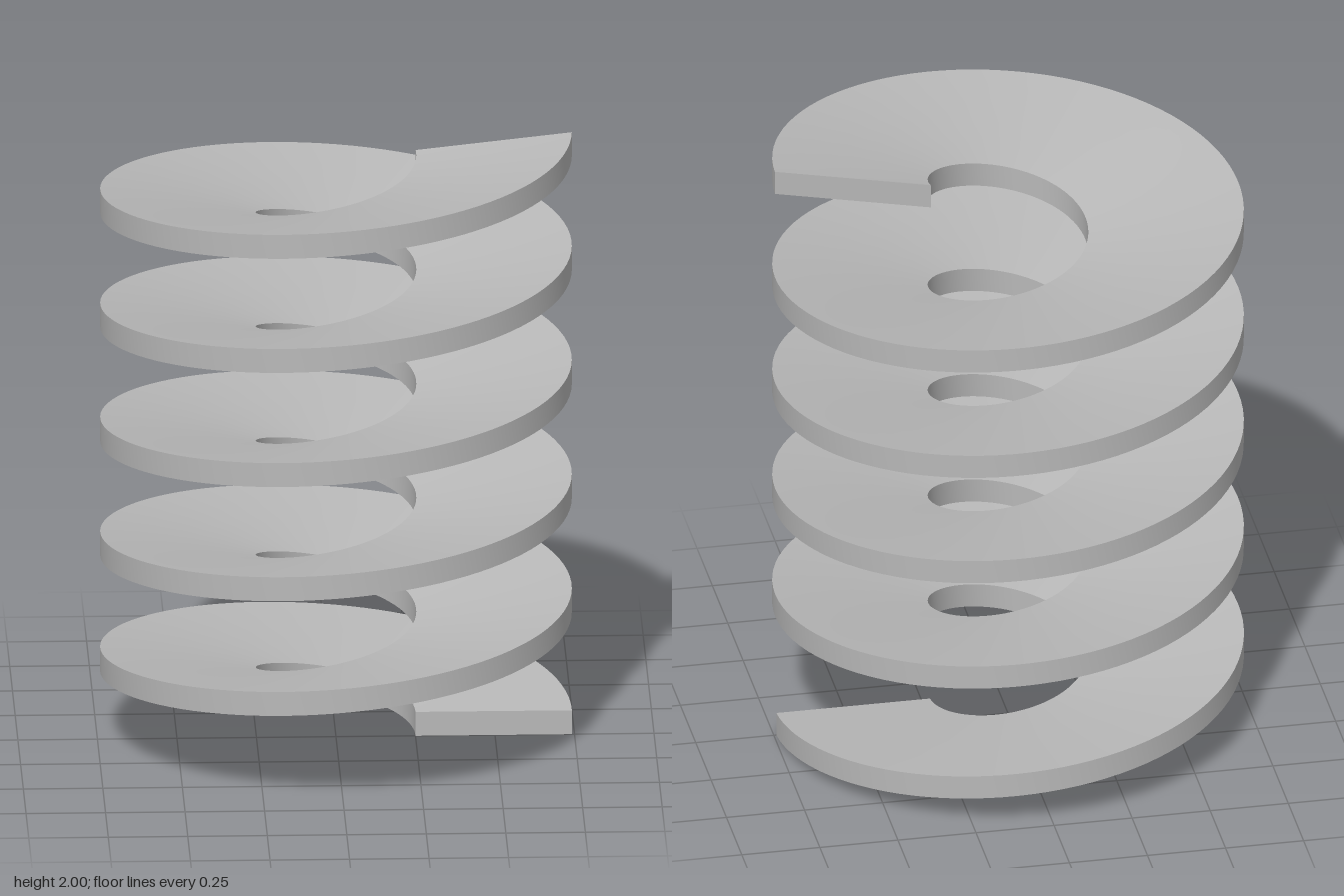
import * as THREE from 'three';

const TURNS = 5, PITCH = 0.377, THICK = 0.079;
const MID = 0.496, HALF = 0.246;   // centre radius and half width of the band
const STEPS = 480;

// Corners of the band's rectangular section: inner/outer bottom, outer/inner top
function section(i) {
  const a = (i / STEPS) * (TURNS * Math.PI * 2 - 0.01);
  const blend = 1 - Math.exp(-a / 1.5);   // starts level, then settles to a slight tilt
  const tilt = 0.0355 * blend, lag = 0.1 * blend;
  const corner = (side, up) => {
    const r = MID + side * HALF * Math.cos(lag);
    const t = -side * HALF * Math.sin(lag);
    return new THREE.Vector3(
      r * Math.cos(a) - t * Math.sin(a),
      (PITCH * a) / (Math.PI * 2) + side * tilt + up * THICK,
      -r * Math.sin(a) - t * Math.cos(a));
  };
  return [corner(-1, 0), corner(1, 0), corner(1, 1), corner(-1, 1)];
}

function makeGeometry(points, index) {
  const g = new THREE.BufferGeometry().setFromPoints(points);
  g.setIndex(index);
  g.computeVertexNormals();
  return g;
}

export function createModel() {
  const group = new THREE.Group();
  group.name = 'coilSpring';
  const steel = new THREE.MeshStandardMaterial({ color: 0xb8b8b8 });
  steel.name = 'light grey';
  const add = (name, geometry) => {
    const mesh = new THREE.Mesh(geometry, steel);
    mesh.name = name;
    group.add(mesh);
  };

  const rings = Array.from({ length: STEPS + 1 }, (_, i) => section(i));

  // Four smooth faces of the band, with sharp edges between them
  ['undersideFace', 'outerFace', 'topFace', 'innerFace'].forEach((name, k) => {
    const points = [], index = [];
    rings.forEach((ring, i) => {
      points.push(ring[k], ring[(k + 1) % 4]);
      if (i < STEPS) {
        const p = i * 2;
        index.push(p, p + 2, p + 1, p + 1, p + 2, p + 3);
      }
    });
    add(name, makeGeometry(points, index));
  });

  // Cut ends
  add('lowerEnd', makeGeometry(rings[0], [0, 1, 2, 0, 2, 3]));
  add('upperEnd', makeGeometry(rings[STEPS], [0, 2, 1, 0, 3, 2]));
  return group;
}
